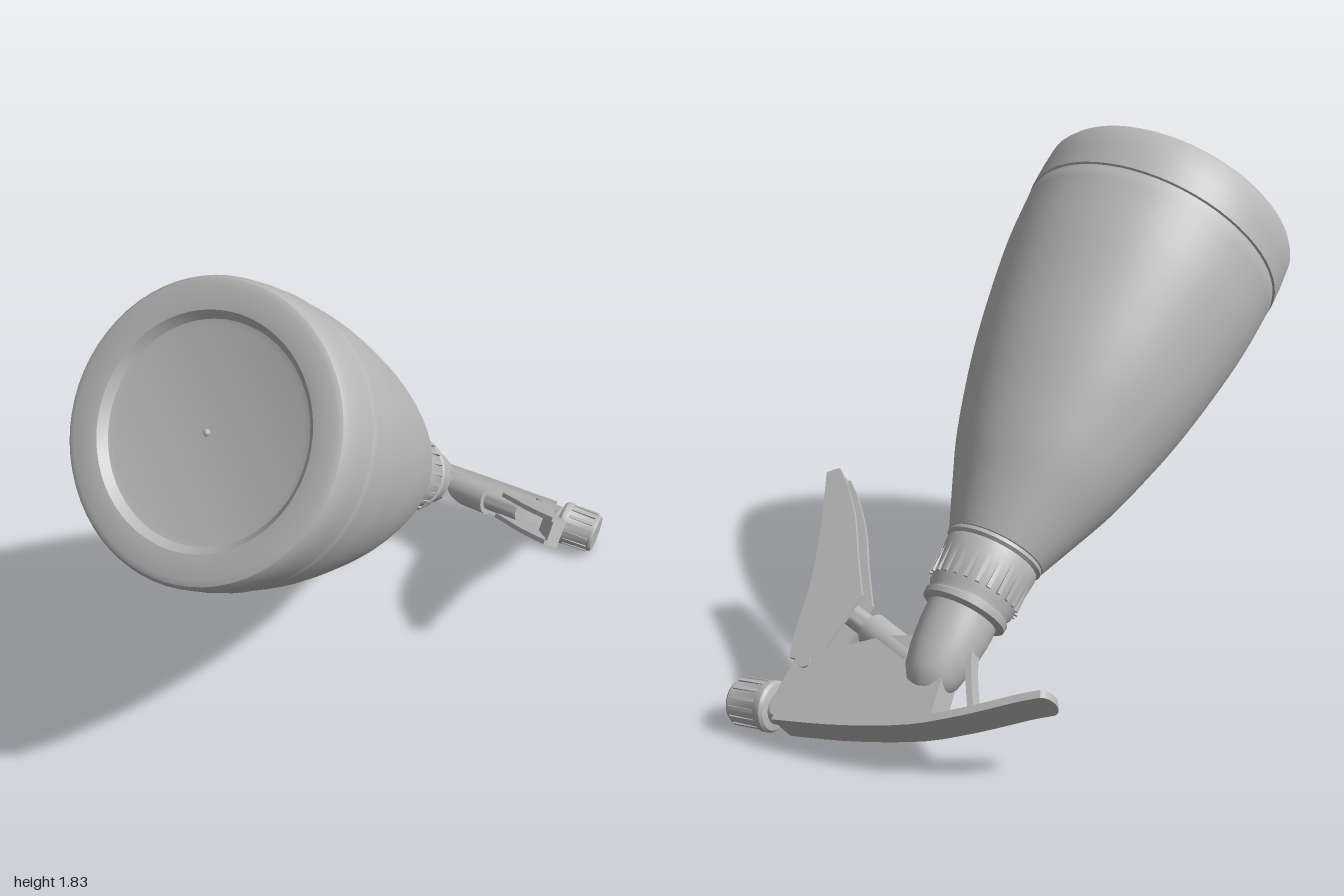
import * as THREE from 'three';
import { toCreasedNormals } from 'three/addons/utils/BufferGeometryUtils.js';

const plastic = new THREE.MeshStandardMaterial({ color: 0xb8b8b8 });
plastic.name = 'grey plastic';

const vec = (pts) => pts.map(([x, y]) => new THREE.Vector2(x, y));

function add(parent, name, geometry, crease = 0.6) {
  const mesh = new THREE.Mesh(toCreasedNormals(geometry, crease), plastic);
  mesh.name = name;
  parent.add(mesh);
  return mesh;
}

// Solid of revolution about the bottle axis
const lathe = (parent, name, pts, sides = 48, crease = 0.6) =>
  add(parent, name, new THREE.LatheGeometry(vec(pts), sides), crease);

// Side profile extruded across the width, centred on w
function slab(parent, name, shape, depth, w = 0) {
  const geometry = new THREE.ExtrudeGeometry(shape, { depth, bevelEnabled: false, curveSegments: 10 });
  geometry.translate(0, 0, w - depth / 2);
  return add(parent, name, geometry);
}

// Closed shape of constant thickness along a smooth line
function ribbon(pts, thickness) {
  const curve = new THREE.SplineCurve(vec(pts));
  const upper = [], lower = [];
  for (let i = 0; i <= 20; i++) {
    const p = curve.getPoint(i / 20), t = curve.getTangent(i / 20);
    const n = new THREE.Vector2(-t.y, t.x).multiplyScalar(thickness / 2);
    upper.push(p.clone().add(n));
    lower.unshift(p.clone().sub(n));
  }
  return new THREE.Shape([...upper, ...lower]);
}

// Rod between two points of the side plane
function rod(parent, name, [x0, y0], [x1, y1], r0, r1) {
  const length = Math.hypot(x1 - x0, y1 - y0);
  const mesh = add(parent, name, new THREE.CylinderGeometry(r1, r0, length, 24));
  mesh.position.set((x0 + x1) / 2, (y0 + y1) / 2, 0);
  mesh.rotation.z = Math.atan2(y1 - y0, x1 - x0) - Math.PI / 2;
  return mesh;
}

// Ring of small grip ribs around the y axis
function ribs(parent, name, count, radius, y, height, size) {
  for (let i = 0; i < count; i++) {
    const a = (i / count) * Math.PI * 2;
    const rib = add(parent, name, new THREE.BoxGeometry(size, height, size));
    rib.position.set(Math.cos(a) * radius, y, Math.sin(a) * radius);
    rib.rotation.y = -a;
  }
}

function buildBottle(parent) {
  // Smooth shoulder curve above the base band
  const side = new THREE.SplineCurve(vec([
    [0.478, 0.2], [0.464, 0.4], [0.43, 0.62], [0.39, 0.82], [0.342, 1.0],
    [0.295, 1.15], [0.243, 1.28], [0.172, 1.45],
  ])).getPoints(30).map((p) => [p.x, p.y]);
  lathe(parent, 'bottle', [
    [0, 0.035], [0.325, 0.035], [0.345, 0.03], [0.368, 0.0], [0.445, -0.008], [0.465, 0.0],
    [0.477, 0.02], [0.481, 0.1], [0.481, 0.178], [0.474, 0.182], [0.474, 0.19], ...side,
    [0.14, 1.47], [0, 1.47],
  ], 64);
  add(parent, 'baseNub', new THREE.SphereGeometry(0.012, 10, 8)).position.set(0, 0.032, 0);
}

function buildCollar(parent) {
  lathe(parent, 'collar', [
    [0.13, 1.44], [0.167, 1.445], [0.17, 1.465], [0.16, 1.475], [0.163, 1.49], [0.148, 1.64],
    [0.14, 1.655], [0.14, 1.665], [0.148, 1.67], [0.146, 1.69], [0.12, 1.7], [0, 1.7],
  ]);
  ribs(parent, 'collarRib', 24, 0.153, 1.56, 0.12, 0.014);
}

function buildHead(parent) {
  lathe(parent, 'neck', [
    [0.122, 1.66], [0.12, 1.76], [0.11, 1.85], [0.095, 1.92], [0.07, 1.97], [0.035, 1.995], [0, 2.0],
  ], 36, 1);
  slab(parent, 'headBody', new THREE.Shape(vec([
    [-0.07, 1.92], [0.1, 1.83], [0.19, 1.86], [0.47, 2.02], [0.475, 2.2], [0.45, 2.23],
    [0.2, 2.18], [-0.03, 2.11], [-0.1, 2.06],
  ])), 0.11);
  slab(parent, 'topCoverAndThumbRest', ribbon([
    [-0.425, 1.885], [-0.36, 1.92], [-0.28, 1.97], [-0.17, 2.035], [-0.03, 2.105], [0.2, 2.18], [0.43, 2.235],
  ], 0.026), 0.135);
  // Rounded end of the thumb rest
  const tip = add(parent, 'thumbRestTip', new THREE.CylinderGeometry(0.0675, 0.0675, 0.026, 24));
  tip.position.set(-0.42, 1.888, 0);
  tip.rotation.z = 0.52;
  tip.scale.x = 0.5;
  slab(parent, 'thumbRestStrut', ribbon([[-0.09, 1.78], [-0.13, 1.87], [-0.21, 2.0]], 0.02), 0.06);
  // Pump
  rod(parent, 'pumpCylinder', [0.08, 1.9], [0.29, 1.84], 0.058, 0.058);
  rod(parent, 'pumpPiston', [0.27, 1.845], [0.44, 1.8], 0.038, 0.038);
  // Trigger pivot
  const pivot = add(parent, 'triggerPivot', new THREE.CylinderGeometry(0.022, 0.022, 0.125, 16));
  pivot.position.set(0.43, 2.03, 0);
  pivot.rotation.x = Math.PI / 2;
}

function buildTrigger(parent) {
  // Channel section: two cheeks joined by a curved front web
  const cheek = new THREE.Shape();
  cheek.moveTo(0.752, 1.362);
  cheek.splineThru(vec([[0.652, 1.568], [0.578, 1.756], [0.535, 1.93], [0.5, 2.03]]));
  cheek.lineTo(0.4, 2.03);
  cheek.lineTo(0.385, 1.93);
  cheek.lineTo(0.362, 1.75);
  cheek.splineThru(vec([[0.45, 1.63], [0.54, 1.5], [0.63, 1.4], [0.71, 1.332]]));
  cheek.closePath();
  for (const s of [-1, 1]) slab(parent, 'triggerCheek', cheek, 0.016, s * 0.042);
  slab(parent, 'triggerWeb', ribbon([
    [0.735, 1.355], [0.638, 1.564], [0.562, 1.752], [0.52, 1.92], [0.49, 2.02],
  ], 0.03), 0.1);
  slab(parent, 'triggerTip', ribbon([[0.71, 1.345], [0.745, 1.37]], 0.025), 0.1);
}

function buildNozzle(parent) {
  const nozzle = new THREE.Group();
  nozzle.name = 'nozzle';
  nozzle.position.set(0.45, 2.185, 0);
  nozzle.rotation.z = -Math.PI / 2 + 0.15;
  parent.add(nozzle);
  lathe(nozzle, 'nozzleCap', [
    [0, -0.03], [0.055, -0.03], [0.055, 0.03], [0.078, 0.035], [0.086, 0.045], [0.086, 0.065],
    [0.08, 0.075], [0.076, 0.18], [0.07, 0.188], [0, 0.188],
  ], 32);
  ribs(nozzle, 'nozzleRib', 14, 0.076, 0.12, 0.1, 0.013);
}

export function createModel() {
  const model = new THREE.Group();
  model.name = 'sprayBottle';

  // Upright bottle frame: y runs from base to head, x points along the spray
  const bottle = new THREE.Group();
  bottle.name = 'tiltedBottle';
  const up = new THREE.Vector3(0.142, -0.625, -0.768).normalize();
  const across = new THREE.Vector3(0.985, -0.006, 0.187).cross(up).normalize();
  const forward = up.clone().cross(across);
  bottle.quaternion.setFromRotationMatrix(new THREE.Matrix4().makeBasis(forward, up, across));
  bottle.position.set(-0.235, 1.465, 0.69);
  model.add(bottle);

  for (const build of [buildBottle, buildCollar, buildHead, buildTrigger, buildNozzle]) build(bottle);
  return model;
}
